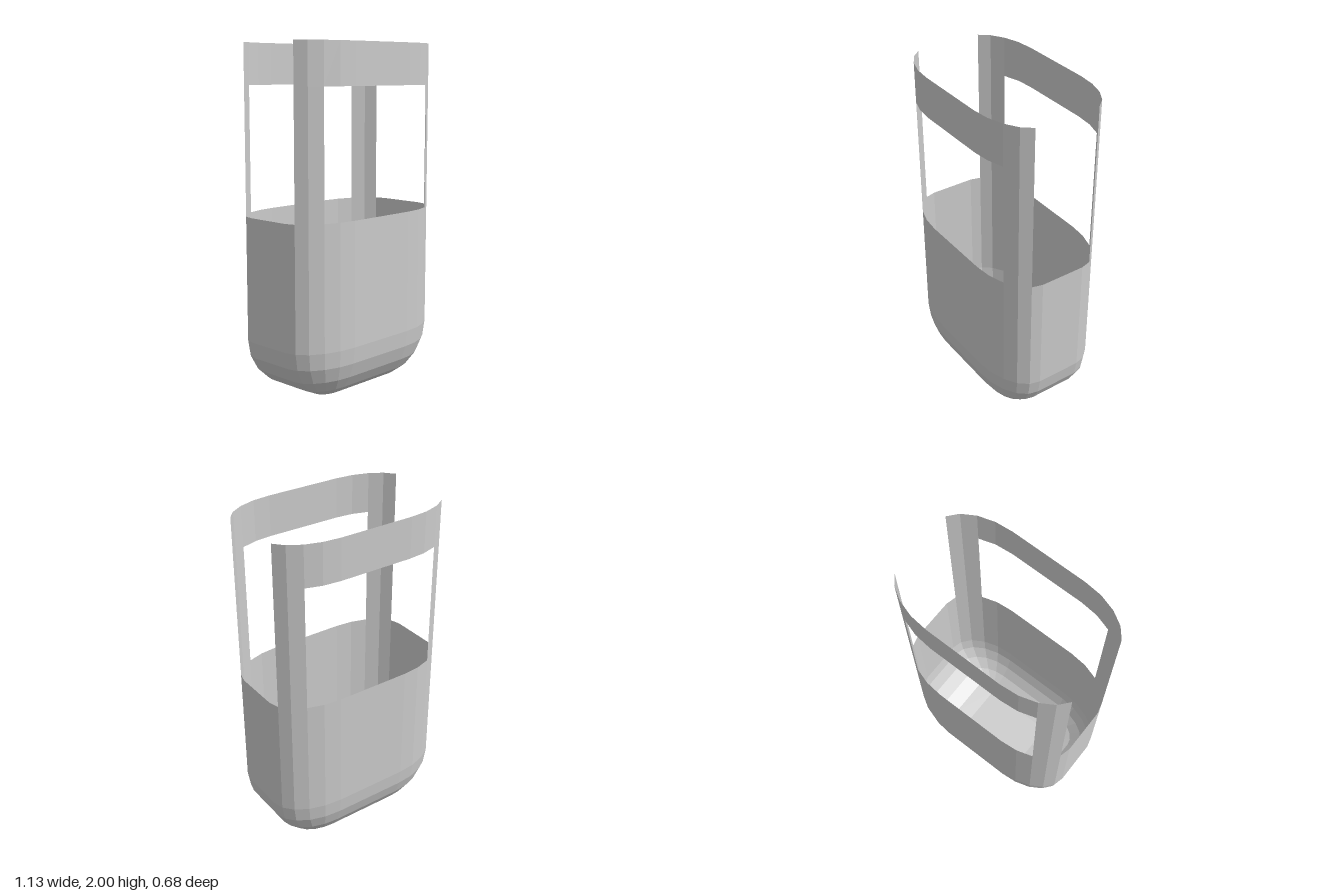
import * as THREE from 'three';

// Half sizes of the body and the radii of its rounded corners
const HX = 0.565, HZ = 0.34, RX = 0.339, RY = 0.31, RZ = 0.204, SEG = 5;
const RIM = 1.03, BAND = 1.76, TOP = 2;

const material = new THREE.MeshStandardMaterial({
  color: 0xcccccc, flatShading: true, side: THREE.DoubleSide,
});

// Plan of the front left corner, from the side wall round to the front wall
function corner(scale = 1) {
  return Array.from({ length: SEG + 1 }, (_, k) => {
    const a = (k / SEG) * Math.PI / 2;
    return [HX - RX + RX * scale * Math.cos(a), HZ - RZ + RZ * scale * Math.sin(a)];
  });
}

const mirrorX = (pts) => pts.map(([x, z]) => [-x, z]).reverse();
const halfTurn = (pts) => pts.map(([x, z]) => [-x, -z]);

// Closed plan of the whole body
function outline(scale) {
  const front = [...corner(scale), ...mirrorX(corner(scale))];
  const loop = [...front, ...halfTurn(front)];
  return [...loop, loop[0]];
}

// Surface stretched between stacked rings, each { y, pts }, listed upwards
function skin(name, rings) {
  const positions = [], indices = [], n = rings[0].pts.length;
  for (const { y, pts } of rings) for (const [x, z] of pts) positions.push(x, y, z);
  for (let r = 0; r < rings.length - 1; r++) {
    for (let i = 0; i < n - 1; i++) {
      const a = r * n + i, b = a + 1, c = a + n, d = c + 1;
      indices.push(a, c, b, b, c, d);
    }
  }
  const geometry = new THREE.BufferGeometry();
  geometry.setAttribute('position', new THREE.Float32BufferAttribute(positions, 3));
  geometry.setIndex(indices);
  geometry.computeVertexNormals();
  const mesh = new THREE.Mesh(geometry, material);
  mesh.name = name;
  return mesh;
}

const strip = (name, pts, y0, y1) => skin(name, [{ y: y0, pts }, { y: y1, pts }]);

export function createModel() {
  const model = new THREE.Group();
  model.name = 'openBasket';

  // Rounded underside and straight walls, open at the rim
  const rings = [];
  for (let k = 0; k <= SEG; k++) {
    const a = (k / SEG) * Math.PI / 2;
    rings.push({ y: RY * (1 - Math.cos(a)), pts: outline(Math.sin(a)) });
  }
  rings.push({ y: RIM, pts: outline(1) });
  model.add(skin('basketBody', rings));

  // Flat floor
  const floor = new THREE.Mesh(
    new THREE.PlaneGeometry(2 * (HX - RX), 2 * (HZ - RZ)).rotateX(Math.PI / 2), material);
  floor.name = 'basketFloor';
  model.add(floor);

  // Four corner posts
  const post = corner().slice(1, 4);
  const frontPosts = { Left: post, Right: mirrorX(post) };
  for (const [side, pts] of Object.entries(frontPosts)) {
    model.add(strip('frontPost' + side, pts, RIM, BAND));
    model.add(strip('backPost' + (side === 'Left' ? 'Right' : 'Left'), halfTurn(pts), RIM, BAND));
  }

  // Upper bands joining the posts across the front and the back
  const half = corner().slice(1);
  const band = [...half, ...mirrorX(half)];
  model.add(strip('frontBand', band, BAND, TOP));
  model.add(strip('backBand', halfTurn(band), BAND, TOP));

  return model;
}
